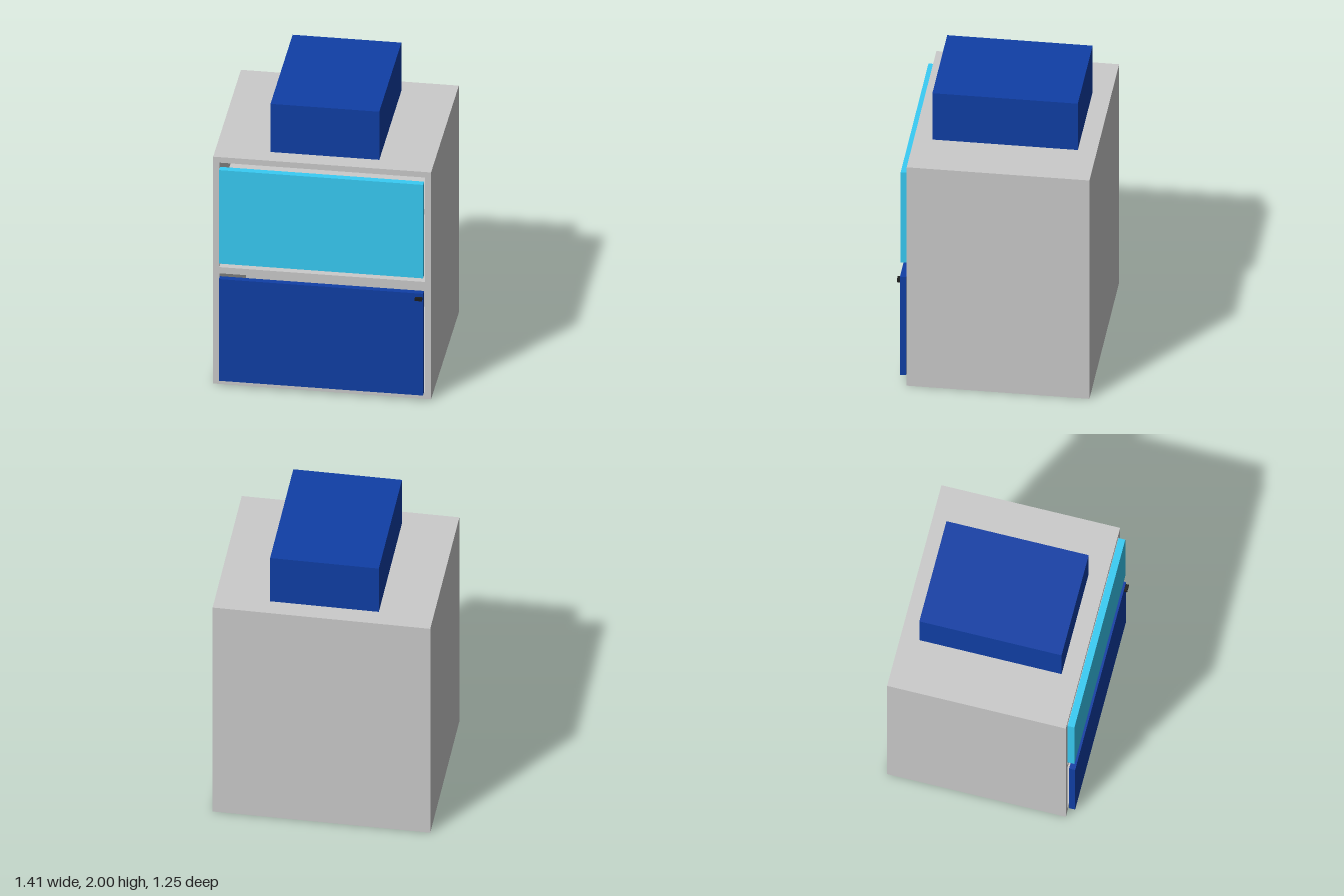
import * as THREE from 'three';

const mat = (color) => new THREE.MeshStandardMaterial({ color });

// Box given by its extents on each axis
function block(name, [x0, x1], [y0, y1], [z0, z1], material) {
  const mesh = new THREE.Mesh(new THREE.BoxGeometry(x1 - x0, y1 - y0, z1 - z0), material);
  mesh.position.set((x0 + x1) / 2, (y0 + y1) / 2, (z0 + z1) / 2);
  mesh.name = name;
  return mesh;
}

export function createModel() {
  const group = new THREE.Group();
  group.name = 'cabinet';
  const grey = mat(0xcccccc), blue = mat(0x103fa6), teal = mat(0x38ccf5), black = mat(0x1c1c1c);

  const W = 0.705, H = 1.65, back = -0.625, front = 0.555, wall = 0.04;
  const inner = W - wall, innerBack = back + wall;

  // Carcass: front frame with two openings, extruded through the depth
  const frame = new THREE.Shape([
    new THREE.Vector2(-W, 0), new THREE.Vector2(W, 0),
    new THREE.Vector2(W, H), new THREE.Vector2(-W, H),
  ]);
  for (const [y0, y1] of [[0.045, 0.805], [0.85, 1.61]]) {
    frame.holes.push(new THREE.Path([
      new THREE.Vector2(-inner, y0), new THREE.Vector2(-inner, y1),
      new THREE.Vector2(inner, y1), new THREE.Vector2(inner, y0),
    ]));
  }
  const carcass = new THREE.Mesh(
    new THREE.ExtrudeGeometry(frame, { depth: front - innerBack, bevelEnabled: false }), grey);
  carcass.position.z = innerBack;
  carcass.name = 'carcass';
  group.add(carcass);

  group.add(
    block('backPanel', [-W, W], [0, H], [back, innerBack], grey),
    // Shelf inside the upper compartment
    block('shelf', [-inner, inner], [1.31, 1.35], [innerBack, 0.5], grey),
    // Fronts
    block('upperDoor', [-0.66, 0.66], [0.9, 1.58], [0.555, 0.6], teal),
    block('lowerDoor', [-0.66, 0.66], [0.05, 0.79], [0.565, 0.605], blue),
    block('handle', [0.61, 0.656], [0.745, 0.765], [0.605, 0.625], black),
    // Unit standing on the top
    block('topBox', [-0.352, 0.352], [H, 2], [-0.502, 0.437], blue),
  );
  return group;
}
